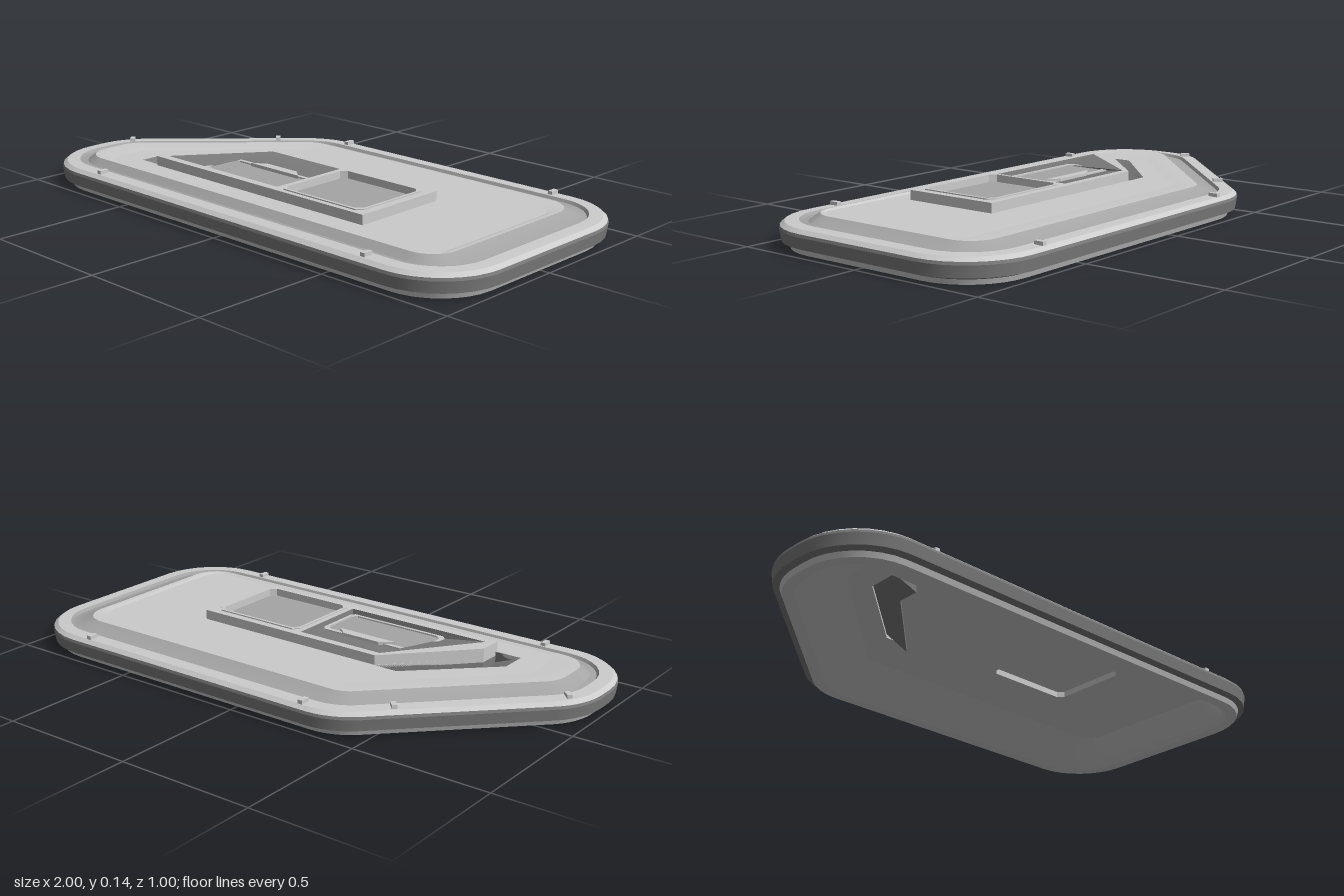
import * as THREE from 'three';
import { toCreasedNormals } from 'three/addons/utils/BufferGeometryUtils.js';

const material = (color) => new THREE.MeshStandardMaterial({ color, side: THREE.DoubleSide });
const grey = material(0xcccccc);
const midGrey = material(0xa5a5a5);
const darkGrey = material(0x7c7c7c);
const white = material(0xffffff);

// Outline edges, counter-clockwise from above: outward normal (x, -z) and distance.
const D = Math.SQRT1_2;
const EDGES = [
  [0, -1, 0.5],    // front
  [1, 0, 1],       // right-hand end
  [0, 1, 0.5],     // back
  [-D, D, 0.643],  // diagonal
  [-1, 0, 1],      // left-hand end
];

// Rounded five-sided outline with one inset per edge, as 2D points (x, -z).
function outline(insets, radius, segments = 8) {
  const lines = EDGES.map(([nx, ny, c], i) => [nx, ny, c - insets[i]]);
  const points = [];
  lines.forEach((a, i) => {
    const b = lines[(i + 1) % lines.length];
    const ca = a[2] - radius, cb = b[2] - radius;
    const det = a[0] * b[1] - a[1] * b[0];
    const x = (ca * b[1] - cb * a[1]) / det;
    const y = (a[0] * cb - b[0] * ca) / det;
    const start = Math.atan2(a[1], a[0]);
    const turn = Math.atan2(det, a[0] * b[0] + a[1] * b[1]);
    for (let k = 0; k <= segments; k++) {
      const t = start + (turn * k) / segments;
      points.push(new THREE.Vector2(x + radius * Math.cos(t), y + radius * Math.sin(t)));
    }
  });
  return points;
}

// Plan points given as [x, z] pairs.
const plan = (pairs) => pairs.map(([x, z]) => new THREE.Vector2(x, -z));

// Skin between rings of equal length: [{ points, y }].
function loft(rings, closed = true) {
  const pos = [], index = [], n = rings[0].points.length;
  rings.forEach(({ points, y }) => points.forEach((p) => pos.push(p.x, y, -p.y)));
  for (let i = 0; i + 1 < rings.length; i++) {
    for (let j = 0; j < (closed ? n : n - 1); j++) {
      const a = i * n + j, b = i * n + ((j + 1) % n);
      index.push(a, b, b + n, a, b + n, a + n);
    }
  }
  const g = new THREE.BufferGeometry();
  g.setAttribute('position', new THREE.Float32BufferAttribute(pos, 3));
  g.setIndex(index);
  return toCreasedNormals(g, 0.4);
}

// Flat slab between two heights, with optional holes.
function slab(points, y0, y1, holes = []) {
  const shape = new THREE.Shape(points);
  holes.forEach((h) => shape.holes.push(new THREE.Path(h)));
  const g = new THREE.ExtrudeGeometry(shape, { depth: y1 - y0, bevelEnabled: false });
  return g.rotateX(-Math.PI / 2).translate(0, y0, 0);
}

// Rectangle with clipped corners.
const clipped = (x0, z0, x1, z1, c) => plan([
  [x0 + c, z1], [x1 - c, z1], [x1, z1 - c], [x1, z0 + c],
  [x1 - c, z0], [x0 + c, z0], [x0, z0 + c], [x0, z1 - c],
]);

export function createModel() {
  const group = new THREE.Group();
  const add = (name, geometry, mat = grey) => {
    const mesh = new THREE.Mesh(geometry, mat);
    mesh.name = name;
    group.add(mesh);
    return mesh;
  };
  const even = (d) => [d, d, d, d, d];
  const plateInset = [0.14, 0.18, 0.23, 0.23, 0.25];

  // Rim bands, from the hollow underside round the edge to the stepped top
  const bands = [
    ['foot', grey, [
      [plateInset, 0.06, 0.085],
      [[0.085, 0.09, 0.09, 0.09, 0.09], 0.17, 0.008],
      [even(0.075), 0.18, 0],
      [even(0.035), 0.215, 0],
      [even(0.028), 0.222, 0.018],
    ]],
    ['sideBand', darkGrey, [
      [even(0.028), 0.222, 0.018],
      [even(0.006), 0.244, 0.026],
      [even(0), 0.25, 0.066],
      [even(0.003), 0.247, 0.076],
    ]],
    ['lip', grey, [
      [even(0.003), 0.247, 0.076],
      [even(0.018), 0.232, 0.088],
      [even(0.065), 0.185, 0.09],
    ]],
    ['channel', midGrey, [
      [even(0.065), 0.185, 0.09],
      [even(0.072), 0.178, 0.08],
      [even(0.095), 0.155, 0.082],
      [[0.125, 0.15, 0.145, 0.145, 0.14], 0.1, 0.105],
    ]],
    ['innerStep', grey, [
      [[0.125, 0.15, 0.145, 0.145, 0.14], 0.1, 0.105],
      [[0.13, 0.165, 0.17, 0.17, 0.17], 0.08, 0.105],
      [plateInset, 0.06, 0.1],
    ]],
  ];
  bands.forEach(([name, mat, rings]) =>
    add(name, loft(rings.map(([insets, r, y]) => ({ points: outline(insets, r), y }))), mat));

  // Main plate, open under the square window and at the slanted slot
  const slotOuter = [[-0.55, 0.27], [-0.65, 0.27], [-0.65, 0.17], [-0.38, -0.09]];
  const slotInner = [[-0.55, 0.27], [-0.55, 0.27], [-0.55, 0.19], [-0.29, -0.09]];
  const slotHole = plan([...slotOuter, [-0.29, -0.09], [-0.55, 0.19]]);
  const squareWindow = clipped(0.08, -0.05, 0.43, 0.25, 0.02);
  add('plate', slab(outline(plateInset, 0.06), 0.085, 0.1, [slotHole, squareWindow]));

  // Slanted slot floor with its end and inner walls
  add('slot', loft([
    { points: plan(slotOuter), y: 0.098 },
    { points: plan(slotInner), y: 0.06 },
    { points: plan(slotInner), y: 0.1 },
  ], false), darkGrey);

  // Raised panel with two openings
  const basin = plan([[-0.52, 0.25], [0.05, 0.25], [0.05, -0.06], [-0.29, -0.06]]);
  const panel = plan([[-0.55, 0.28], [0.47, 0.28], [0.47, -0.088], [-0.29, -0.088], [-0.55, 0.19]]);
  add('panel', slab(panel, 0.098, 0.135, [basin, squareWindow]));

  // Sloping basin around the small window
  add('basin', loft([
    { points: basin, y: 0.135 },
    { points: plan([[-0.36, 0.245], [0.045, 0.245], [0.045, 0.06], [-0.36, 0.06]]), y: 0.112 },
  ]), darkGrey);

  // Window panes, the square one with a pale underside
  add('squarePane', slab(squareWindow, 0.109, 0.112), midGrey);
  add('squarePaneUnderside', slab(squareWindow, 0.106, 0.109), white);
  add('smallPane', slab(clipped(-0.36, 0.06, 0.045, 0.245, 0.02), 0.108, 0.113), midGrey);
  add('smallPaneTab', slab(plan([[-0.26, 0.08], [-0.02, 0.08], [-0.06, 0.045], [-0.21, 0.045]]), 0.11, 0.125));

  // Thin window trims
  add('squareTrim', slab(clipped(0.07, -0.06, 0.44, 0.26, 0.02), 0.133, 0.139, [squareWindow]));
  add('smallTrim', slab(clipped(-0.365, 0.055, 0.05, 0.25, 0.02), 0.11, 0.118,
    [clipped(-0.35, 0.07, 0.035, 0.235, 0.02)]));

  // Small pegs on the rim
  const peg = new THREE.BoxGeometry(0.018, 0.02, 0.035);
  const pegs = [[-0.28, -0.465], [0.68, -0.465], [-0.64, 0.46], [0.65, 0.46], [-0.53, -0.32], [-0.93, 0.09]];
  pegs.forEach(([x, z], i) => {
    const mesh = add('peg', peg);
    mesh.position.set(x, 0.091, z);
    if (i > 3) mesh.rotation.y = Math.PI / 4;
  });

  return group;
}
